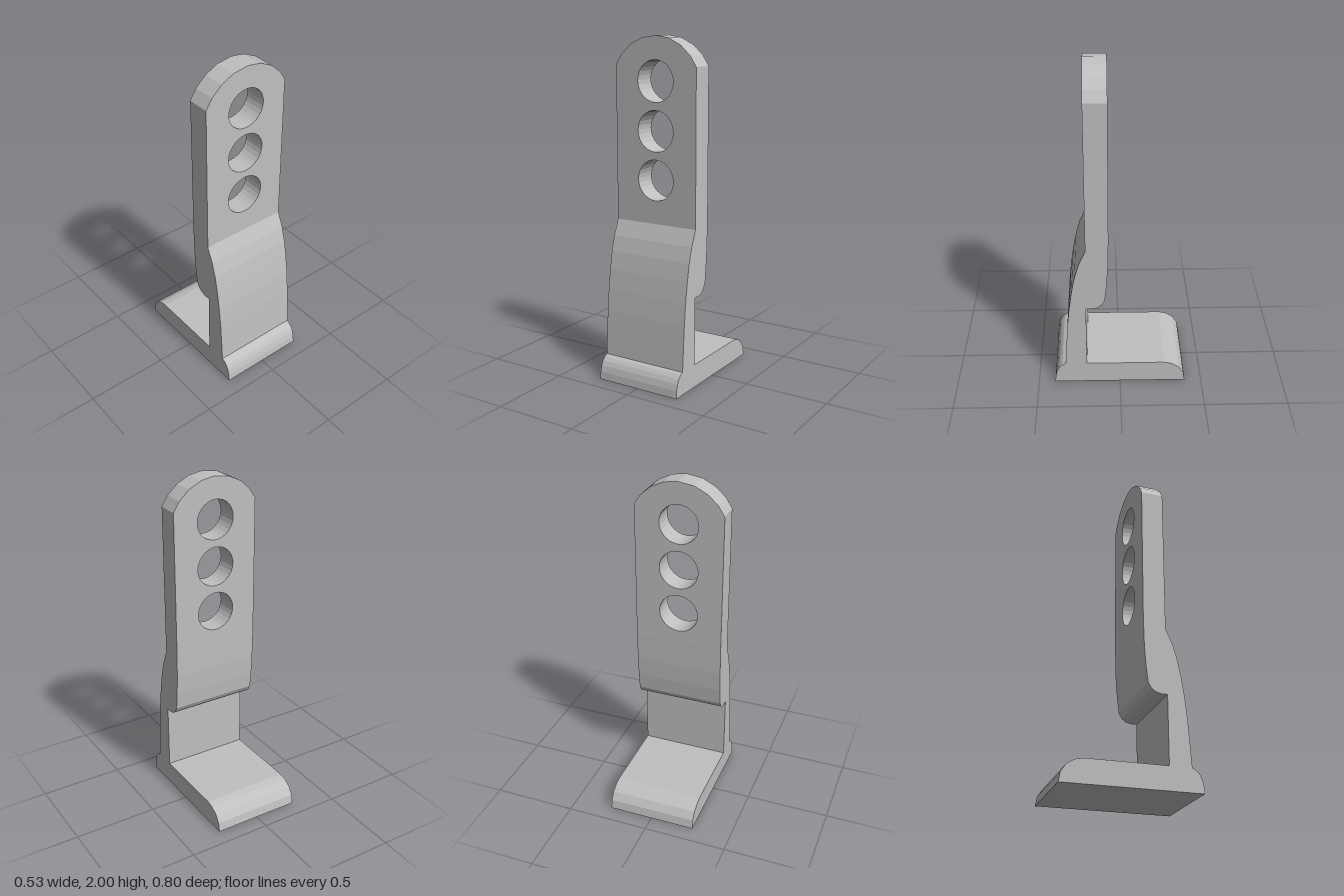
import * as THREE from 'three';

const HALF_WIDTH = 0.266;

const points = (list) => list.map(([a, b]) => new THREE.Vector2(a, b));

export function createModel() {
  const group = new THREE.Group();
  group.name = 'bracket';
  const grey = new THREE.MeshStandardMaterial({ color: 0xc0c0c0 });
  grey.name = 'grey';

  // Foot and curved neck: side profile (z, y) swept across the width
  const profile = new THREE.Shape(points([
    // rounded toe
    [0.4, 0], [0.396, 0.045], [0.386, 0.082], [0.372, 0.108], [0.355, 0.126], [0.333, 0.137],
    // curved front of the neck
    [0.326, 0.25], [0.316, 0.4], [0.303, 0.53], [0.286, 0.65], [0.266, 0.755], [0.24, 0.845], [0.2, 0.936],
    // joint with the plate
    [0.2, 1], [0.067, 1],
    // back of the neck and its rounded lip
    [0.071, 0.82], [0.079, 0.7], [0.09, 0.6], [0.108, 0.567], [0.135, 0.547], [0.165, 0.54], [0.202, 0.54],
    // notch, foot top and rounded heel
    [0.202, 0.137], [-0.27, 0.137], [-0.315, 0.127], [-0.36, 0.1], [-0.39, 0.055], [-0.4, 0],
  ]));
  const footGeometry = new THREE.ExtrudeGeometry(profile, { depth: HALF_WIDTH * 2, bevelEnabled: false });
  footGeometry.rotateY(-Math.PI / 2).translate(HALF_WIDTH, 0, 0);
  const foot = new THREE.Mesh(footGeometry, grey);
  foot.name = 'footAndNeck';
  group.add(foot);

  // Upright plate with a faceted arched top
  const radius = 0.296;
  const arch = [HALF_WIDTH, 0.228, 0.167, 0.089, 0.005, -0.089, -0.167, -0.228, -HALF_WIDTH]
    .map((x) => [x, 2 - radius + Math.sqrt(radius * radius - x * x)]);
  const plateShape = new THREE.Shape(points([[-HALF_WIDTH, 1], [HALF_WIDTH, 1], ...arch]));

  // Row of round holes
  for (const y of [1.19, 1.47, 1.75]) {
    const hole = new THREE.Path();
    hole.absarc(0, y, 0.118, 0, Math.PI * 2, true);
    plateShape.holes.push(hole);
  }
  const plateGeometry = new THREE.ExtrudeGeometry(plateShape, { depth: 0.133, bevelEnabled: false, curveSegments: 14 });
  plateGeometry.translate(0, 0, 0.067);
  const plate = new THREE.Mesh(plateGeometry, grey);
  plate.name = 'perforatedPlate';
  group.add(plate);

  return group;
}
